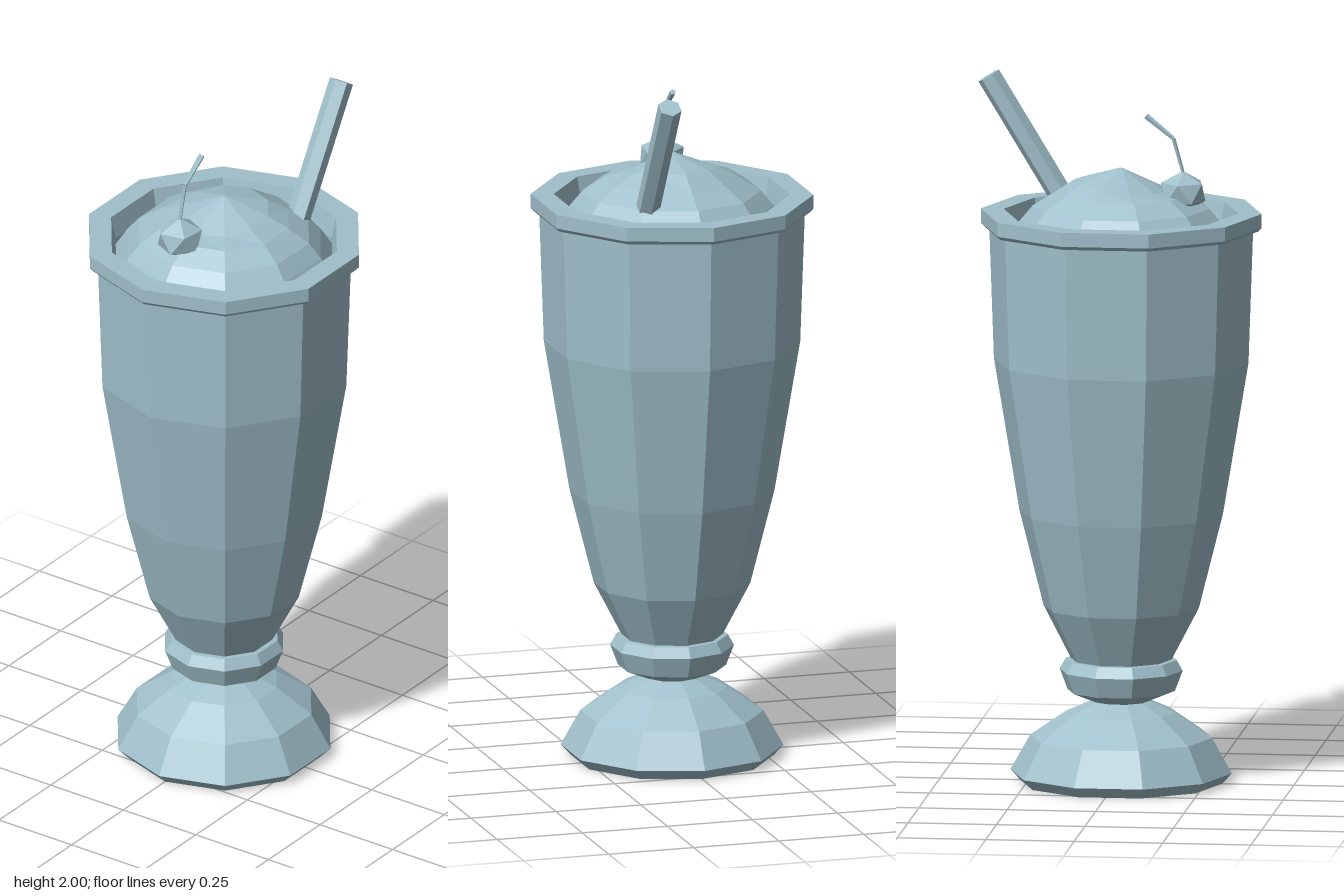
import * as THREE from 'three';

const paleBlue = new THREE.MeshStandardMaterial({ color: 0xa0c0cb, flatShading: true });
paleBlue.name = 'paleBlue';

function add(parent, name, geometry) {
  const mesh = new THREE.Mesh(geometry, paleBlue);
  mesh.name = name;
  parent.add(mesh);
  return mesh;
}

// Ten-sided turned shape with a corner facing front
function turned(profile) {
  return new THREE.LatheGeometry(profile.map(([r, y]) => new THREE.Vector2(r, y)), 10);
}

// Straight rod between two points
function rod(parent, name, from, to, r0, r1, sides) {
  const a = new THREE.Vector3(...from), b = new THREE.Vector3(...to);
  const dir = b.clone().sub(a);
  const mesh = add(parent, name, new THREE.CylinderGeometry(r1, r0, dir.length(), sides));
  mesh.position.copy(a).add(b).multiplyScalar(0.5);
  mesh.quaternion.setFromUnitVectors(new THREE.Vector3(0, 1, 0), dir.normalize());
  return mesh;
}

export function createModel() {
  const model = new THREE.Group();
  model.name = 'milkshake';

  const body = new THREE.Group();
  body.name = 'glassAndCream';
  body.position.z = 0.012;
  model.add(body);

  // Foot, hollow underneath
  add(body, 'foot', turned([
    [0, 0.2], [0.1, 0.19], [0.2, 0.12], [0.265, 0.03], [0.285, 0.0],
    [0.313, 0.03], [0.257, 0.13], [0.155, 0.2], [0.075, 0.235],
  ]));

  // Stem knob
  add(body, 'stemKnob', turned([
    [0.075, 0.23], [0.152, 0.262], [0.174, 0.32], [0.157, 0.35], [0.13, 0.352],
  ]));

  // Bowl with overhanging rim and inner wall
  add(body, 'bowl', turned([
    [0.13, 0.345], [0.142, 0.35], [0.22, 0.5], [0.288, 0.77], [0.36, 1.2], [0.373, 1.575],
  ]));
  add(body, 'rim', turned([
    [0.37, 1.575], [0.388, 1.575], [0.397, 1.585], [0.397, 1.625],
    [0.332, 1.625], [0.319, 1.56], [0.319, 1.53],
  ]));

  // Whipped cream dome, dipping towards the front
  const cream = turned([
    [0.32, 1.54], [0.285, 1.595], [0.25, 1.637], [0.19, 1.675], [0.13, 1.7], [0, 1.75],
  ]);
  const p = cream.attributes.position;
  for (let i = 0; i < p.count; i++) {
    const r = Math.hypot(p.getX(i), p.getZ(i));
    if (r > 0.1 && r < 0.15) p.setY(i, p.getY(i) - 0.015 * p.getZ(i) / r);
  }
  add(body, 'cream', cream);

  // Drinking straw leaning back
  rod(model, 'straw', [0.127, 1.57, -0.128], [0.127, 1.982, -0.378], 0.034, 0.034, 6);

  // Cherry with a bent stalk
  const cherry = new THREE.Group();
  cherry.name = 'cherry';
  model.add(cherry);
  const fruit = new THREE.IcosahedronGeometry(0.07, 0);
  fruit.rotateZ(-Math.atan(2 / (1 + Math.sqrt(5))));
  fruit.rotateY(0.5);
  fruit.scale(1, 0.85, 1);
  add(cherry, 'fruit', fruit).position.set(-0.025, 1.688, 0.19);
  const bend = [-0.028, 1.84, 0.163];
  rod(cherry, 'lowerStalk', [-0.025, 1.735, 0.192], bend, 0.005, 0.006, 5);
  rod(cherry, 'upperStalk', bend, [-0.025, 1.902, 0.085], 0.006, 0.009, 5);

  return model;
}
